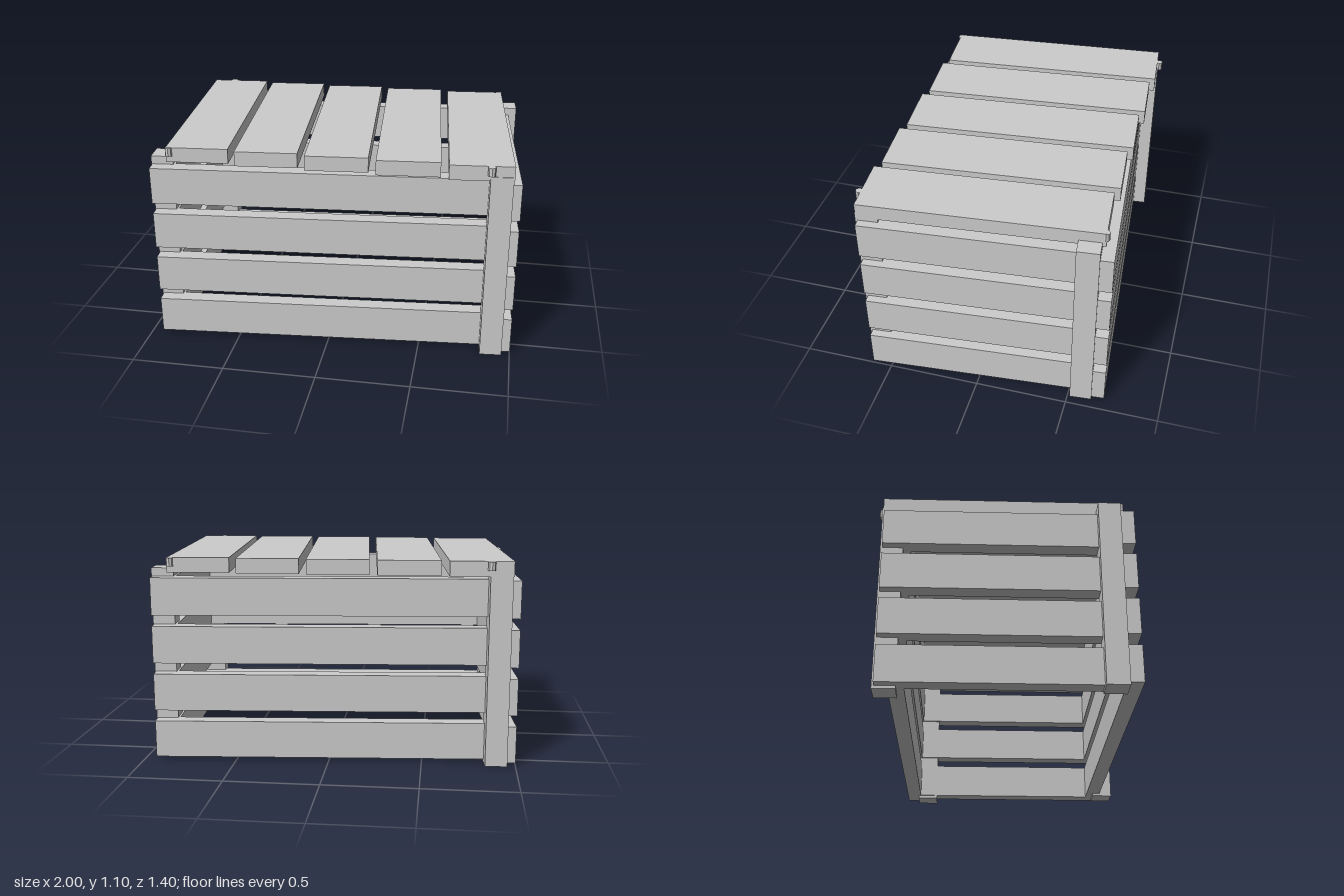
import * as THREE from 'three';

const TURN = 0.08; // every board is twisted slightly about its own upright axis

export function createModel() {
  const model = new THREE.Group();
  model.name = 'slattedCrate';
  const material = new THREE.MeshStandardMaterial({ color: 0xcccccc, flatShading: true });

  function add(name, geometry, x, y, z) {
    const mesh = new THREE.Mesh(geometry, material);
    mesh.name = name;
    mesh.position.set(x, y, z);
    mesh.rotation.y = TURN;
    model.add(mesh);
  }

  // Corner posts and the small pegs at the lid corners
  const post = new THREE.BoxGeometry(0.118, 1.04, 0.118);
  const peg = new THREE.CylinderGeometry(0.02, 0.02, 0.046, 8);
  for (const sx of [-1, 1]) {
    for (const sz of [-1, 1]) {
      add('cornerPost', post, sx * 0.8925, 0.52, sz * 0.567);
      add('lidPeg', peg, sx * 0.843, 1.073, sz * 0.636);
    }
  }

  // Four rows of slats on each of the four walls
  const longSlat = new THREE.BoxGeometry(1.883, 0.2, 0.083);
  const sideSlat = new THREE.BoxGeometry(0.083, 0.2, 1.22);
  for (let row = 0; row < 4; row++) {
    const y = 0.116 + row * 0.26;
    add('frontSlat', longSlat, 0, y, 0.582);
    add('backSlat', longSlat, 0, y, -0.582);
    add('leftSlat', sideSlat, 0.91, y, 0);
    add('rightSlat', sideSlat, -0.91, y, 0);
  }

  // Lid planks
  const plank = new THREE.BoxGeometry(0.331, 0.08, 1.263);
  for (let i = -2; i <= 2; i++) add('lidPlank', plank, i * 0.372, 1.057, 0);

  return model;
}
